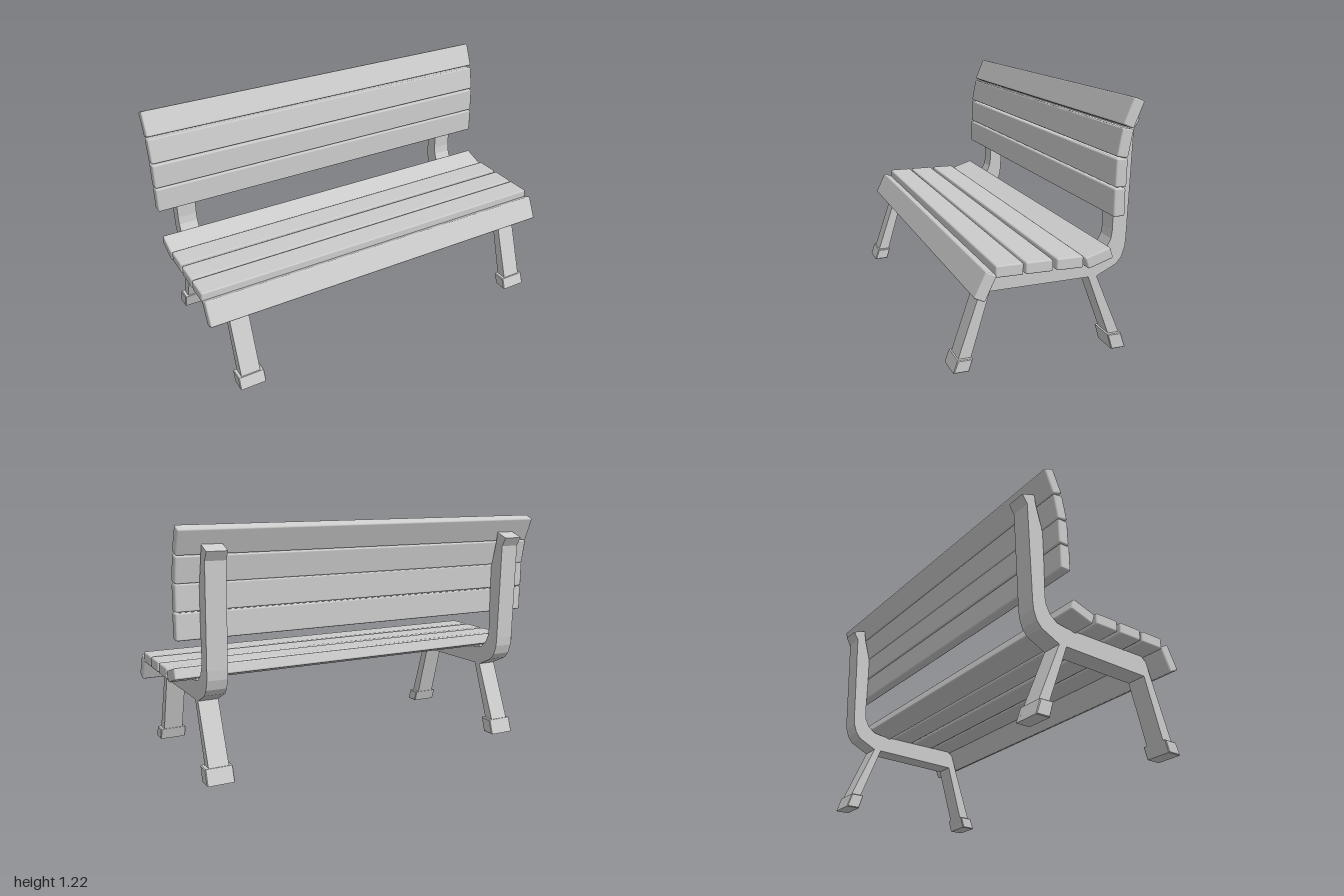
import * as THREE from 'three';
import { RoundedBoxGeometry } from 'three/addons/geometries/RoundedBoxGeometry.js';

const material = new THREE.MeshStandardMaterial({ color: 0xcccccc });

// Extrude a side profile of [z, y] points across x, centred on x = 0
function sideProfile(points, width, bevel = 0) {
  const shape = new THREE.Shape(points.map(([z, y]) => new THREE.Vector2(z, y)));
  const depth = width - 2 * bevel;
  const geometry = new THREE.ExtrudeGeometry(shape, {
    depth,
    bevelEnabled: bevel > 0,
    bevelSize: bevel,
    bevelThickness: bevel,
    bevelOffset: -bevel,
    bevelSegments: 1,
  });
  geometry.translate(0, 0, -depth / 2);
  geometry.rotateY(-Math.PI / 2);
  return geometry;
}

function addMesh(parent, geometry, name) {
  const mesh = new THREE.Mesh(geometry, material);
  mesh.name = name;
  parent.add(mesh);
  return mesh;
}

export function createModel() {
  const bench = new THREE.Group();
  bench.name = 'bench';

  // Slats: centre z, centre y, backward tilt from upright in degrees
  const slats = {
    seatSlat: [
      [0.329, 0.432, 25.5],
      [0.219, 0.495, 90],
      [0.079, 0.495, 90],
      [-0.068, 0.495, 90],
      [-0.211, 0.503, 72],
    ],
    backSlat: [
      [-0.301, 0.752, 0],
      [-0.305, 0.886, 1],
      [-0.318, 1.019, 10.5],
      [-0.355, 1.15, 22.5],
    ],
  };
  const slatGeometry = new RoundedBoxGeometry(2, 0.13, 0.056, 1, 0.008);
  for (const [name, list] of Object.entries(slats)) {
    for (const [z, y, tilt] of list) {
      const slat = addMesh(bench, slatGeometry, name);
      slat.position.set(0, y, z);
      slat.rotation.x = -THREE.MathUtils.degToRad(tilt);
    }
  }

  // Frame outline: legs, seat rail and curved back post in one piece
  const frameGeometry = sideProfile([
    [0.43, 0.03], [0.368, 0.03], [0.27, 0.365],
    [-0.216, 0.374], [-0.347, 0.03], [-0.406, 0.03], [-0.258, 0.374],
    [-0.358, 0.423], [-0.384, 0.455], [-0.4, 0.503], [-0.404, 0.55],
    [-0.42, 1.058], [-0.448, 1.103], [-0.377, 1.13], [-0.37, 1.08],
    [-0.332, 0.93], [-0.332, 0.59], [-0.326, 0.55], [-0.306, 0.51],
    [-0.265, 0.477], [-0.2, 0.467], [0.265, 0.467], [0.29, 0.445],
  ], 0.102);

  // Feet: slanted blocks around the leg ends
  const frontFoot = sideProfile(
    [[0.448, 0], [0.374, 0], [0.355, 0.06], [0.427, 0.06]].reverse(), 0.139, 0.004);
  const rearFoot = sideProfile(
    [[-0.342, 0], [-0.416, 0], [-0.39, 0.077], [-0.319, 0.077]].reverse(), 0.139, 0.004);

  for (const side of [1, -1]) {
    const support = new THREE.Group();
    support.name = side > 0 ? 'leftSupport' : 'rightSupport';
    support.position.x = side * 0.835;
    addMesh(support, frameGeometry, 'frame');
    addMesh(support, frontFoot, 'frontFoot');
    addMesh(support, rearFoot, 'rearFoot');
    bench.add(support);
  }
  return bench;
}
